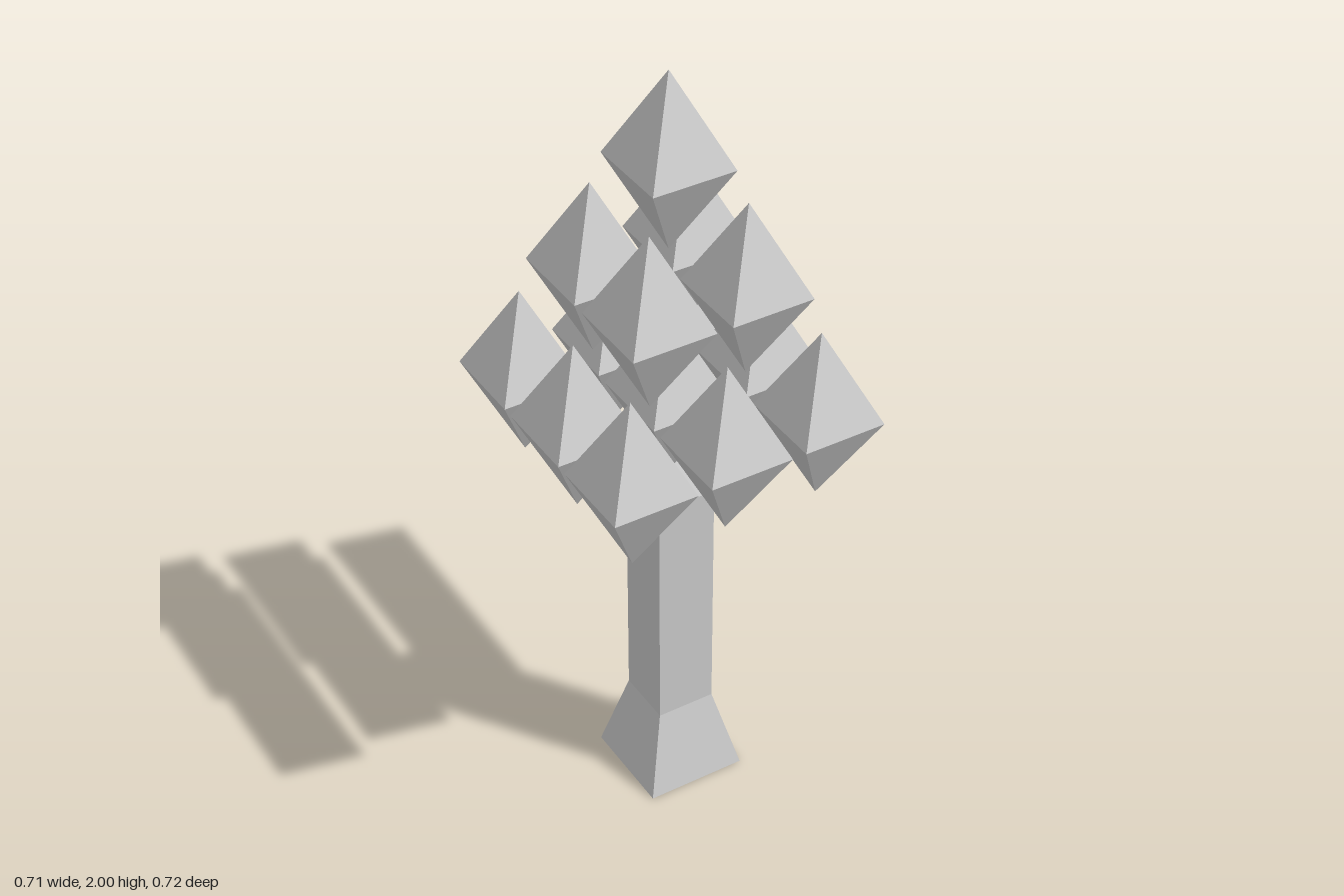
import * as THREE from 'three';

const material = new THREE.MeshStandardMaterial({ color: 0xcccccc, flatShading: true });

// Four-sided tapered block standing on height y, sides square to the axes
function squareBlock(name, topHalf, bottomHalf, y, height) {
  const geo = new THREE.CylinderGeometry(topHalf * Math.SQRT2, bottomHalf * Math.SQRT2, height, 4);
  geo.rotateY(Math.PI / 4);
  geo.translate(0.003, y + height / 2, 0.004);
  const mesh = new THREE.Mesh(geo, material);
  mesh.name = name;
  return mesh;
}

export function createModel() {
  const tree = new THREE.Group();
  tree.name = 'tree';

  // Trunk with flared foot
  tree.add(squareBlock('trunkFoot', 0.076, 0.13, 0, 0.217));
  tree.add(squareBlock('trunk', 0.076, 0.076, 0.217, 0.658));

  // Double-pyramid leaf, turned so its waist is square to the axes
  const leaf = new THREE.OctahedronGeometry(1);
  leaf.rotateY(Math.PI / 4);
  leaf.scale(0.107 * Math.SQRT2, 0.228, 0.111 * Math.SQRT2);

  // Crown: square layers of leaves, 3 x 3, then 2 x 2, then one
  const layers = [
    { name: 'lowerLeaf', count: 3, y: 1.145, step: 0.25 },
    { name: 'middleLeaf', count: 2, y: 1.464, step: 0.255 },
    { name: 'topLeaf', count: 1, y: 1.772, step: 0 },
  ];
  for (const { name, count, y, step } of layers) {
    const layer = new THREE.Group();
    layer.name = name + 'Layer';
    for (let i = 0; i < count; i++) {
      for (let j = 0; j < count; j++) {
        const mesh = new THREE.Mesh(leaf, material);
        mesh.name = name;
        const offset = (count - 1) / 2;
        mesh.position.set((i - offset) * step + 0.002, y, (j - offset) * step - 0.001);
        layer.add(mesh);
      }
    }
    tree.add(layer);
  }
  return tree;
}
